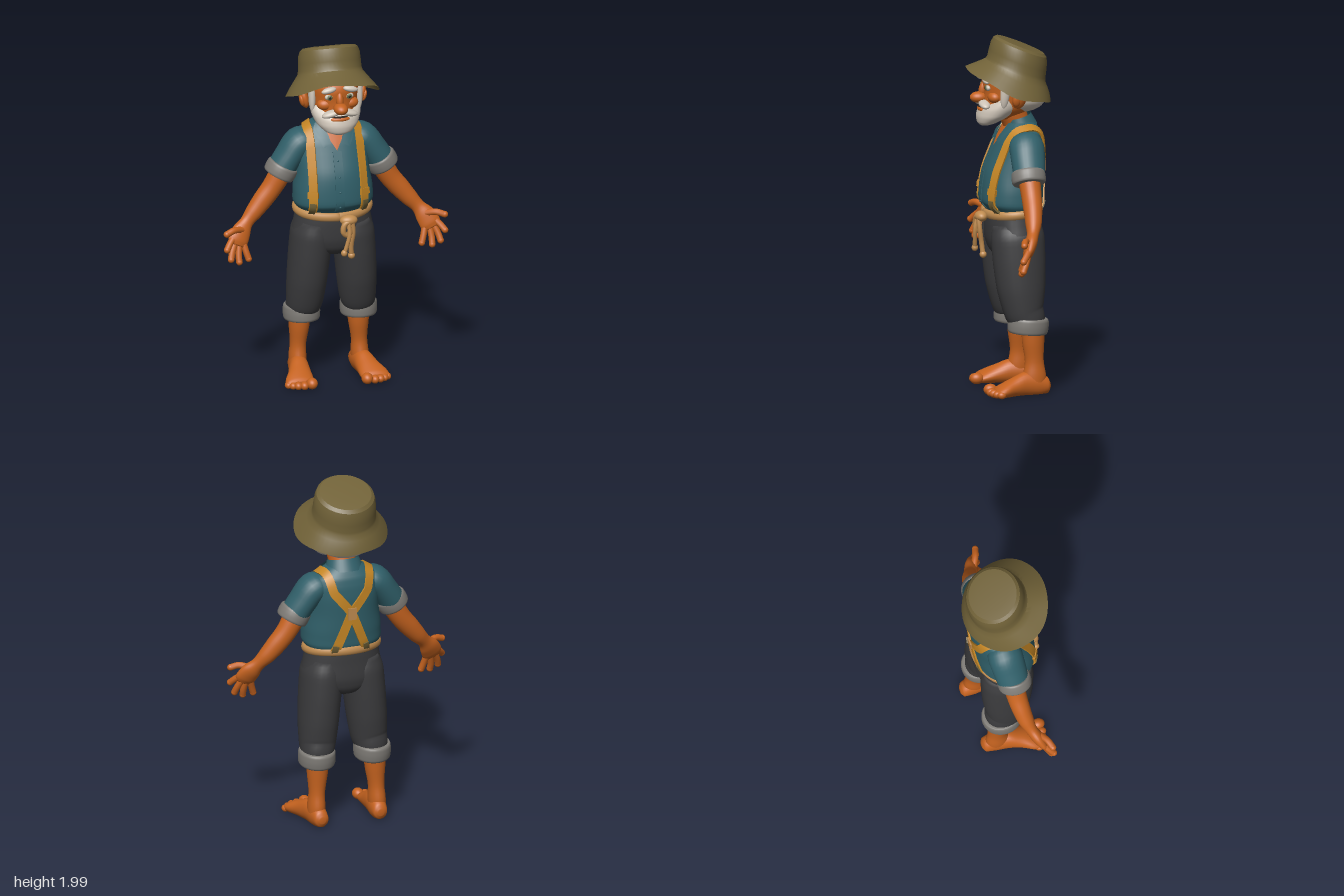
import * as THREE from 'three';
import { toCreasedNormals } from 'three/addons/utils/BufferGeometryUtils.js';

const V = (x, y, z) => new THREE.Vector3(x, y, z);
const UP = V(0, 1, 0), FRONT = V(0, 0, 1);

// Closed skin over a list of rings, with both ends capped
function skinRings(rings) {
  const n = rings[0].length, pos = [], idx = [], last = rings.length - 1;
  rings.forEach(r => r.forEach(p => pos.push(p.x, p.y, p.z)));
  for (let i = 0; i < last; i++) for (let j = 0; j < n; j++) {
    const a = i * n + j, b = i * n + (j + 1) % n;
    idx.push(a, a + n, b, b, a + n, b + n);
  }
  for (const i of [0, last]) {
    const c = rings[i].reduce((s, p) => s.add(p), V(0, 0, 0)).divideScalar(n);
    const k = pos.length / 3;
    pos.push(c.x, c.y, c.z);
    for (let j = 0; j < n; j++) {
      const a = i * n + j, b = i * n + (j + 1) % n;
      i ? idx.push(k, b, a) : idx.push(k, a, b);
    }
  }
  const g = new THREE.BufferGeometry();
  g.setAttribute('position', new THREE.Float32BufferAttribute(pos, 3));
  g.setIndex(idx);
  g.computeVertexNormals();
  return g;
}

// Smooth loft through rows of [x, y, z, halfWidth, halfDepth]; axis fixes the section direction
function loft(rows, { axis = null, ref = FRONT, square = 1, seg = 28, floor = -9 } = {}) {
  const path = new THREE.CatmullRomCurve3(rows.map(r => V(r[0], r[1], r[2])));
  const radii = new THREE.CatmullRomCurve3(rows.map(r => V(r[3], r[4], 0)));
  const steps = (rows.length - 1) * 4, rings = [];
  const bend = c => Math.sign(c) * Math.abs(c) ** square;
  for (let i = 0; i <= steps; i++) {
    const t = i / steps, c = path.getPoint(t), r = radii.getPoint(t);
    const T = axis || path.getTangent(t);
    const v = ref.clone().addScaledVector(T, -ref.dot(T)).normalize(), u = T.clone().cross(v);
    rings.push(Array.from({ length: seg }, (_, j) => {
      const a = j / seg * Math.PI * 2;
      const p = c.clone().addScaledVector(u, bend(Math.cos(a)) * Math.max(r.x, 5e-4))
        .addScaledVector(v, bend(Math.sin(a)) * Math.max(r.y, 5e-4));
      p.y = Math.max(p.y, floor);
      return p;
    }));
  }
  return skinRings(rings);
}

export function createModel() {
  const model = new THREE.Group();
  const mat = (name, color) => Object.assign(new THREE.MeshStandardMaterial({ color }), { name });
  const skin = mat('skin', 0xc4621f), shirt = mat('teal shirt', 0x305f69), denim = mat('charcoal trousers', 0x3b3b3d);
  const lining = mat('grey cuffs', 0x7c7974), khaki = mat('khaki', 0x716238), hair = mat('white hair', 0xcdc3b6);
  const strapMat = mat('ochre straps', 0xc58625), rope = mat('rope', 0xc08c50);
  const iris = mat('iris green', 0x66704a), dark = mat('dark', 0x2a2420);
  for (const m of [khaki, shirt, skin]) m.side = THREE.DoubleSide;

  const add = (name, geo, m) => {
    const mesh = new THREE.Mesh(geo, m);
    mesh.name = name;
    model.add(mesh);
    return mesh;
  };
  const blob = (name, m, p, r, rz = 0, rx = 0) => {
    const b = add(name, new THREE.SphereGeometry(1, 24, 16), m);
    b.position.set(...p); b.scale.set(...r); b.rotation.set(rx, 0, rz);
  };
  const tube = (name, m, pts, r) =>
    add(name, new THREE.TubeGeometry(new THREE.CatmullRomCurve3(pts.map(p => V(...p))), 16, r, 10), m);
  // Rolled cuff: a thick band around an axis
  const band = (name, c, dir, half, a, b) => {
    const d = V(...dir).normalize();
    const rows = [[-1, .82], [-.97, .92], [-.7, .98], [0, 1], [.7, .98], [.97, .92], [1, .82]]
      .map(([t, k]) => [c[0] + d.x * t * half, c[1] + d.y * t * half, c[2] + d.z * t * half, a * k, b * k]);
    add(name, loft(rows, { axis: d }), lining);
  };

  // Shirt body and sleeves
  const cloth = [add('shirtBody', loft([
    [0, 1.01, -.02, .185, .13], [0, 1.04, -.02, .207, .15], [0, 1.08, -.012, .225, .172], [0, 1.15, -.015, .222, .172],
    [0, 1.25, -.025, .207, .165], [0, 1.35, -.047, .203, .146], [0, 1.42, -.06, .2, .127], [0, 1.47, -.068, .178, .106],
    [0, 1.505, -.068, .128, .084], [0, 1.53, -.065, .085, .065], [0, 1.54, -.065, .03, .02]],
    { axis: UP, square: .88, seg: 48 }), shirt)];
  for (const s of [1, -1]) {
    cloth.push(add('sleeve', loft([[s * .11, 1.43, -.06, .055, .075], [s * .18, 1.402, -.06, .083, .098],
      [s * .24, 1.328, -.055, .078, .094], [s * .285, 1.26, -.05, .078, .088]]), shirt));
    band('sleeveCuff', [s * .288, 1.252, -.045], [s * .47, -.88, 0], .036, .09, .096);
  }

  // Rays that drop accessories onto the cloth
  const caster = new THREE.Raycaster();
  const project = (from, to, lift) => {
    caster.set(from, to.clone().sub(from).normalize());
    const h = caster.intersectObjects(cloth)[0];
    return h && { p: h.point.clone().addScaledVector(h.normal, lift), n: h.normal.clone() };
  };
  const ray = (x, y, dz) => [V(x, y, dz), V(x, y, -.05)];
  const ribbon = (name, m, rays, width, thick) => {
    const hits = rays.map(([a, b]) => project(a, b, 0)).filter(Boolean);
    const rings = hits.map(({ p, n }, i) => {
      const T = hits[Math.min(i + 1, hits.length - 1)].p.clone().sub(hits[Math.max(i - 1, 0)].p).normalize();
      const u = T.clone().cross(n).normalize();
      return [[1, 1], [-1, 1], [-1, -1], [1, -1]].map(([a, b]) =>
        p.clone().addScaledVector(u, a * width / 2).addScaledVector(n, b * thick));
    });
    add(name, toCreasedNormals(skinRings(rings), .8), m);
  };
  const line = (x0, y0, x1, y1, dz, n) => Array.from({ length: n + 1 }, (_, i) =>
    ray(x0 + (x1 - x0) * i / n, y0 + (y1 - y0) * i / n, dz));
  // Thin front panel laid on the cloth from rows of [y, x0, x1]
  const panel = (name, m, rows, lift) => {
    const n = 6, pos = [], idx = [];
    rows.forEach(([y, x0, x1]) => {
      for (let j = 0; j <= n; j++) {
        const x = x0 + (x1 - x0) * j / n, h = project(...ray(x, y, 1), lift);
        pos.push(...(h ? h.p : V(x, y, 0)).toArray());
      }
    });
    for (let i = 0; i < rows.length - 1; i++) for (let j = 0; j < n; j++) {
      const a = i * (n + 1) + j, b = a + n + 1;
      idx.push(a, b, a + 1, a + 1, b, b + 1);
    }
    const g = new THREE.BufferGeometry();
    g.setAttribute('position', new THREE.Float32BufferAttribute(pos, 3));
    g.setIndex(idx);
    g.computeVertexNormals();
    add(name, g, m);
  };

  // Open neck, collar, placket and buttons
  panel('openNeck', skin, [[1.505, -.06, .06], [1.48, -.052, .052], [1.44, -.035, .035], [1.41, -.016, .016], [1.385, -.001, .001]], .004);
  ribbon('placket', shirt, line(0, 1.38, 0, 1.04, 1, 14), .05, .004);
  for (let i = 0; i < 4; i++)
    blob('button', shirt, project(...ray(0, 1.33 - i * .085, 1), .004).p.toArray(), [.006, .006, .003]);
  for (const s of [1, -1])
    panel('collarFlap', shirt, [[1.515, s * .055, s * .095], [1.49, s * .05, s * .112], [1.45, s * .036, s * .1], [1.42, s * .03, s * .085], [1.4, s * .068, s * .075]], .011);
  const collar = add('collarStand', new THREE.CylinderGeometry(.09, .112, .07, 32, 3, true, .55, Math.PI * 2 - 1.1), shirt);
  collar.position.set(0, 1.517, -.058); collar.rotation.x = .26; collar.scale.z = .86;

  // Suspenders crossing on the back, with clips and a centre tab
  for (const s of [1, -1]) {
    const shoulder = Array.from({ length: 15 }, (_, i) => {
      const a = (i + .5) / 15 * Math.PI, t = V(s * (.14 - .04 * Math.max(0, a / Math.PI * 2 - 1)), 1.4, -.06);
      return [t.clone().add(V(0, Math.sin(a) * .5, Math.cos(a) * .5)), t];
    });
    ribbon('suspender', strapMat, [...line(s * .145, 1.05, s * .14, 1.4, 1, 14), ...shoulder,
      ...line(s * .096, 1.395, s * .004, 1.28, -1, 7), ...line(s * -.004, 1.265, s * -.092, 1.04, -1, 10)], .05, .008);
    ribbon('frontClip', khaki, line(s * .145, 1.02, s * .145, 1.1, 1, 5), .034, .015);
    ribbon('strapBuckle', strapMat, line(s * .145, 1.13, s * .145, 1.165, 1, 2), .06, .014);
    ribbon('backClip', khaki, line(s * -.085, 1.08, s * -.096, 1.02, -1, 4), .034, .015);
  }
  ribbon('crossTab', rope, line(0, 1.305, 0, 1.235, -1, 3), .05, .015);

  // Trousers
  add('trouserHips', loft([[0, .745, -.03, .01, .01], [0, .765, -.03, .08, .1], [0, .81, -.027, .2, .138], [0, .87, -.025, .233, .151],
    [0, .95, -.022, .219, .15], [0, 1, -.022, .21, .148], [0, 1.035, -.022, .205, .145]], { axis: UP, square: .9, seg: 40 }), denim);
  for (const s of [1, -1]) {
    add('trouserLeg', loft([[s * .11, .96, -.02, .095, .135], [s * .118, .87, -.025, .117, .15], [s * .13, .75, -.03, .115, .147],
      [s * .142, .6, -.038, .111, .135], [s * .151, .48, -.05, .102, .113], [s * .158, .43, -.065, .094, .103],
      [s * .16, .38, -.07, .085, .09]], { square: .95 }), denim);
    band('trouserCuff', [s * .163, .393, -.073], [0, 1, -.08], .044, .104, .115);
  }

  // Rope belt with a knot and two hanging ends
  const belt = [];
  for (let i = 0; i <= 64; i++) {
    const a = i / 64 * Math.PI * 2, y = 1.026 - .016 * Math.cos(a);
    const out = V(Math.sin(a), 0, Math.cos(a) * .75);
    belt.push(Array.from({ length: 10 }, (_, j) => {
      const b = j / 10 * Math.PI * 2;
      return V(0, y + Math.sin(b) * .025, -.02).addScaledVector(out, .21 + Math.cos(b) * .018);
    }));
  }
  add('ropeBelt', skinRings(belt), rope);
  blob('beltKnot', rope, [.045, .998, .168], [.05, .03, .035]);
  tube('knotLoop', rope, [[.06, 1.0, .185], [.02, .985, .19], [.01, .935, .19], [.04, .915, .185], [.055, .96, .18]], .016);
  tube('ropeEnd', rope, [[.06, 1.0, .185], [.068, .93, .18], [.06, .85, .168], [.063, .78, .16]], .014);
  tube('ropeEnd', rope, [[.04, .99, .19], [.042, .92, .2], [.028, .86, .198], [.014, .815, .195]], .012);
  blob('ropeTip', rope, [.063, .785, .16], [.02, .02, .02]);
  blob('ropeTip', rope, [.013, .815, .195], [.018, .02, .018]);

  for (const s of [1, -1]) {
    // Arm, palm and fingers
    add('arm', loft([[s * .255, 1.3, -.05, .055, .055], [s * .29, 1.23, -.05, .062, .06], [s * .338, 1.15, -.05, .058, .056],
      [s * .39, 1.085, -.045, .056, .052], [s * .445, 1.02, -.035, .048, .045], [s * .49, .97, -.02, .039, .033],
      [s * .525, .925, 0, .056, .034], [s * .55, .88, .02, .06, .028], [s * .562, .855, .03, .045, .018]]), skin);
    const digits = [['thumb', [.525, .94, .015], [.58, .95, .045], [.624, .937, .06]], ['finger', [.575, .9, .02], [.605, .87, .045], [.624, .846, .065]],
      ['finger', [.568, .87, .025], [.59, .82, .045], [.6, .785, .06]], ['finger', [.545, .86, .025], [.553, .8, .045], [.552, .765, .058]],
      ['finger', [.52, .865, .02], [.508, .815, .035], [.496, .775, .045]]];
    for (const [name, a, b, c] of digits) {
      tube(name, skin, [a, b, c].map(p => [p[0] * s, p[1], p[2]]), .0185);
      blob(name + 'Tip', skin, [c[0] * s, c[1], c[2]], [.0185, .0185, .0185]);
    }
    // Shin, foot and toes
    add('shin', loft([[s * .168, .4, -.1, .064, .066], [s * .17, .3, -.1, .058, .062], [s * .175, .19, -.105, .045, .053],
      [s * .178, .11, -.105, .049, .066], [s * .18, .05, -.1, .048, .07]]), skin);
    add('foot', loft([[s * .172, .05, -.196, .018, .018], [s * .173, .052, -.182, .04, .044], [s * .177, .06, -.12, .051, .07],
      [s * .185, .064, -.05, .056, .07], [s * .198, .052, .02, .067, .055], [s * .212, .04, .075, .08, .042],
      [s * .217, .032, .11, .08, .032], [s * .22, .026, .13, .066, .022]], { axis: FRONT, ref: UP, floor: .008 }), skin);
    [[.158, .142, .032], [.202, .146, .024], [.235, .138, .023], [.262, .125, .021], [.284, .106, .02]].forEach(([x, z, r]) =>
      blob('toe', skin, [s * x, r + .006, z], [r, r, r * 1.2]));
  }

  // Neck and head
  add('neck', loft([[0, 1.42, -.055, .07, .06], [0, 1.5, -.045, .074, .076], [0, 1.56, -.02, .08, .085], [0, 1.62, 0, .085, .085]], { axis: UP }), skin);
  add('head', loft([[0, 1.54, .04, .06, .07], [0, 1.6, .01, .12, .14], [0, 1.68, -.018, .14, .165], [0, 1.76, -.02, .145, .17],
    [0, 1.84, -.04, .132, .15], [0, 1.9, -.04, .085, .09], [0, 1.91, -.04, .01, .01]], { axis: UP }), skin);
  blob('backHair', hair, [0, 1.663, -.075], [.152, .09, .137]);
  blob('nose', skin, [0, 1.663, .168], [.04, .032, .052]);
  blob('noseBridge', skin, [0, 1.705, .145], [.021, .05, .025], 0, -.2);
  // Beard, moustache and mouth
  add('beard', loft([[0, 1.505, .135, .03, .025], [0, 1.52, .125, .075, .052], [0, 1.56, .09, .118, .092], [0, 1.6, .06, .137, .108],
    [0, 1.63, .05, .143, .088], [0, 1.66, .045, .14, .05]], { axis: UP }), hair);
  blob('lip', skin, [0, 1.597, .152], [.058, .016, .023]);
  blob('mouth', dark, [0, 1.611, .155], [.045, .003, .02]);
  for (const s of [1, -1]) {
    blob('moustache', hair, [s * .046, 1.632, .148], [.058, .02, .032], s * -.25);
    blob('sideburn', hair, [s * .135, 1.715, .05], [.02, .1, .027], 0, -.1);
    blob('sideTuft', hair, [s * .15, 1.762, -.01], [.03, .05, .06]);
    blob('ear', skin, [s * .163, 1.675, -.022], [.026, .06, .04], s * -.25, -.15);
    blob('earLobe', skin, [s * .178, 1.665, -.005], [.014, .034, .022], s * -.25);
    blob('cheek', skin, [s * .07, 1.672, .096], [.048, .034, .038]);
    blob('eyebrow', hair, [s * .062, 1.768, .143], [.043, .017, .02], s * -.2);
    blob('eye', hair, [s * .056, 1.724, .13], [.026, .017, .016]);
    blob('iris', iris, [s * .056, 1.724, .142], [.015, .015, .007]);
    blob('pupil', dark, [s * .056, 1.724, .147], [.007, .008, .004]);
  }

  // Bucket hat with a drooping brim, tilted back
  const profile = [[.264, 0], [.238, .03], [.206, .062], [.183, .086], [.178, .1], [.176, .14], [.172, .185], [.163, .212], [.146, .226], [.09, .231], [0, .228]];
  const hatGeo = new THREE.LatheGeometry(profile.map(p => new THREE.Vector2(...p)), 48);
  const P = hatGeo.attributes.position;
  for (let i = 0; i < P.count; i++) {
    const x = P.getX(i), y = P.getY(i), z = P.getZ(i), a = Math.atan2(x, z), k = Math.max(0, 1 - y / .1);
    P.setXYZ(i, x, y - k * (.035 * Math.sin(a) ** 2 + .006 * Math.sin(5 * a)), z * .97 + (1 - k) * (.2 * y - .03));
  }
  const hat = add('bucketHat', toCreasedNormals(hatGeo, .45), khaki);
  hat.position.set(-.008, 1.732, 0); hat.rotation.x = -.38;
  return model;
}
